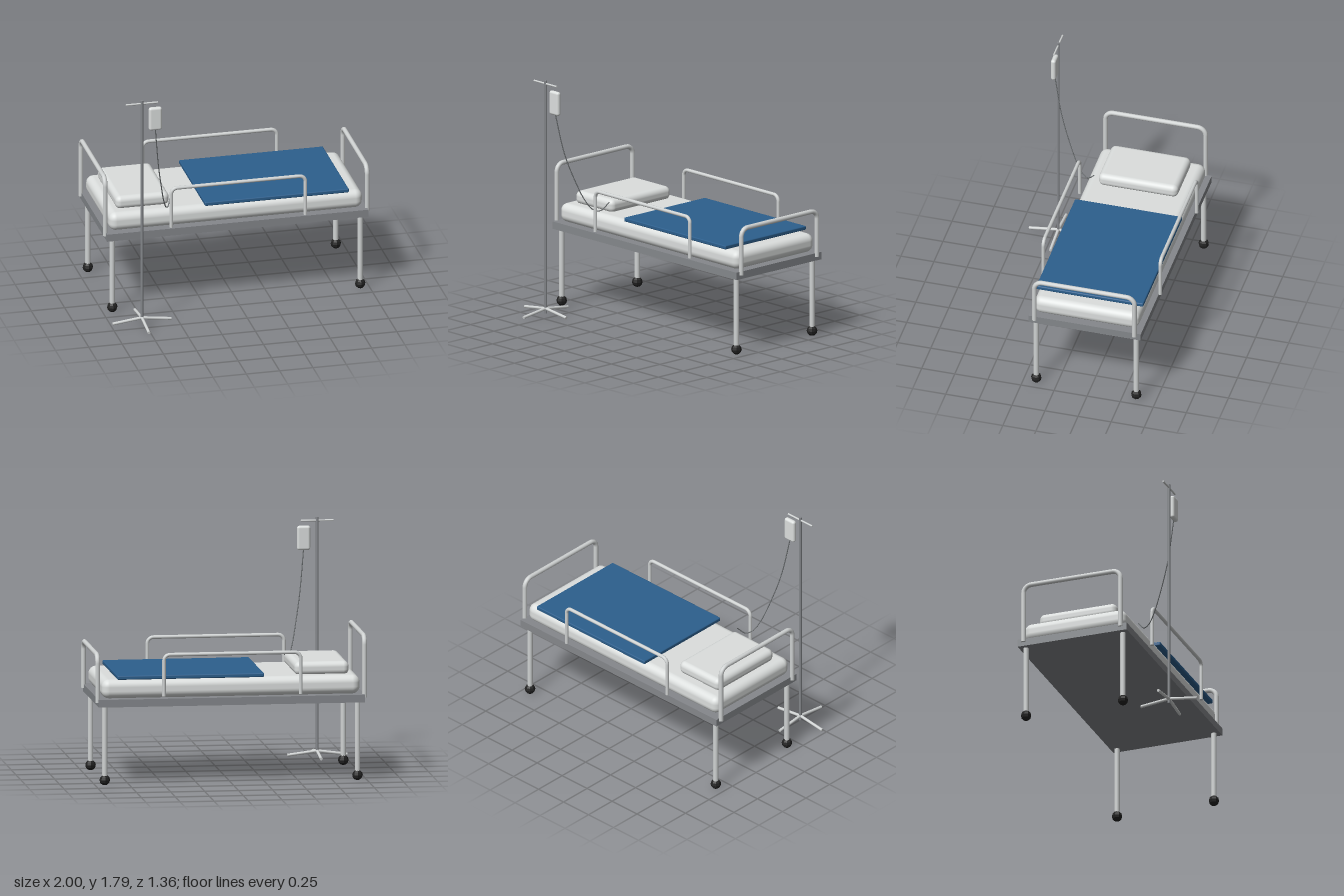
import * as THREE from 'three';
import { RoundedBoxGeometry } from 'three/addons/geometries/RoundedBoxGeometry.js';

const V = (x, y, z) => new THREE.Vector3(x, y, z);
const mat = (name, color, extra = {}) => new THREE.MeshStandardMaterial({ name, color, ...extra });

export function createModel() {
  const root = new THREE.Group();
  root.name = 'hospitalBed';
  const linen = mat('linen', 0xdcdfde);
  const metal = mat('paleMetal', 0xd0d3d3);
  const steel = mat('frameGrey', 0x85888c);
  const blue = mat('blanketBlue', 0x2c5f8d);
  const rubber = mat('rubber', 0x222222, { flatShading: true });
  const hose = mat('hoseGrey', 0x6a6e70);

  const add = (name, geometry, material, x = 0, y = 0, z = 0, parent = root) => {
    const m = new THREE.Mesh(geometry, material);
    m.name = name;
    m.position.set(x, y, z);
    parent.add(m);
    return m;
  };
  // Straight round bar between two points
  const bar = (name, a, b, r, material, parent = root) => {
    const m = add(name, new THREE.CylinderGeometry(r, r, a.distanceTo(b), 12), material, 0, 0, 0, parent);
    m.position.copy(a).add(b).multiplyScalar(0.5);
    m.quaternion.setFromUnitVectors(V(0, 1, 0), b.clone().sub(a).normalize());
  };
  // Upside-down U of bent tube standing on the points a and b
  const hoop = (name, a, b, top, r, bend) => {
    const g = new THREE.Group();
    g.name = name;
    root.add(g);
    const along = b.clone().sub(a).normalize().multiplyScalar(bend);
    const ta = V(a.x, top, a.z), tb = V(b.x, top, b.z), drop = V(0, bend, 0);
    const a1 = ta.clone().sub(drop), a2 = ta.clone().add(along);
    const b1 = tb.clone().sub(along), b2 = tb.clone().sub(drop);
    bar(name + 'Post', a, a1, r, metal, g);
    bar(name + 'Post', b2, b, r, metal, g);
    bar(name + 'Top', a2, b1, r, metal, g);
    const k = 0.55;
    for (const [p, c, q] of [[a1, ta, a2], [b1, tb, b2]]) {
      const curve = new THREE.CubicBezierCurve3(p, p.clone().lerp(c, k), q.clone().lerp(c, k), q);
      add(name + 'Bend', new THREE.TubeGeometry(curve, 8, r, 12), metal, 0, 0, 0, g);
    }
  };

  // Bed
  const cz = -0.225;
  add('bedFrame', new THREE.BoxGeometry(1.96, 0.056, 0.85), steel, 0, 0.607, cz);
  add('mattress', new RoundedBoxGeometry(1.9, 0.14, 0.79, 5, 0.055), linen, 0, 0.705, cz);
  add('pillow', new RoundedBoxGeometry(0.4, 0.1, 0.6, 5, 0.04), linen, -0.68, 0.815, cz);
  add('blanket', new RoundedBoxGeometry(1.08, 0.03, 0.81, 2, 0.008), blue, 0.3, 0.792, cz);

  // Legs with casters
  for (const x of [-0.93, 0.93]) {
    for (const z of [cz - 0.378, cz + 0.378]) {
      add('leg', new THREE.CylinderGeometry(0.02, 0.02, 0.53, 16), metal, x, 0.325, z);
      add('caster', new THREE.SphereGeometry(0.039, 8, 6), rubber, x, 0.039, z);
    }
  }

  // Head, foot and side rails
  hoop('headRail', V(-0.982, 0.61, cz + 0.378), V(-0.982, 0.61, cz - 0.378), 1.06, 0.0175, 0.06);
  hoop('footRail', V(0.982, 0.61, cz + 0.378), V(0.982, 0.61, cz - 0.378), 0.958, 0.0175, 0.06);
  for (const s of [-1, 1]) {
    hoop('sideRail', V(-0.503, 0.655, cz + s * 0.442), V(0.503, 0.655, cz + s * 0.442), 0.962, 0.0135, 0.045);
  }

  // Drip stand
  const stand = new THREE.Group();
  stand.name = 'dripStand';
  stand.position.set(-0.78, 0, 0.455);
  root.add(stand);
  bar('pole', V(0, 0.028, 0), V(0, 1.787, 0), 0.011, steel, stand);
  bar('crossbar', V(-0.12, 1.762, 0), V(0.12, 1.762, 0), 0.007, metal, stand);
  for (let i = 0; i < 4; i++) {
    const t = i * Math.PI / 2;
    bar('standFoot', V(0, 0.064, 0), V(0.22 * Math.cos(t), 0.036, 0.22 * Math.sin(t)), 0.011, metal, stand);
  }
  add('dripBag', new RoundedBoxGeometry(0.098, 0.18, 0.038, 4, 0.018), linen, 0.1, 1.635, 0, stand);

  // Drip tube hanging from the bag to the bed
  const path = new THREE.CatmullRomCurve3([
    V(-0.68, 1.56, 0.455), V(-0.644, 1.25, 0.395), V(-0.607, 1.05, 0.33), V(-0.57, 0.89, 0.262),
    V(-0.54, 0.815, 0.21), V(-0.512, 0.8, 0.16), V(-0.48, 0.86, 0.1),
  ]);
  add('dripTube', new THREE.TubeGeometry(path, 48, 0.004, 8), hose);

  return root;
}
